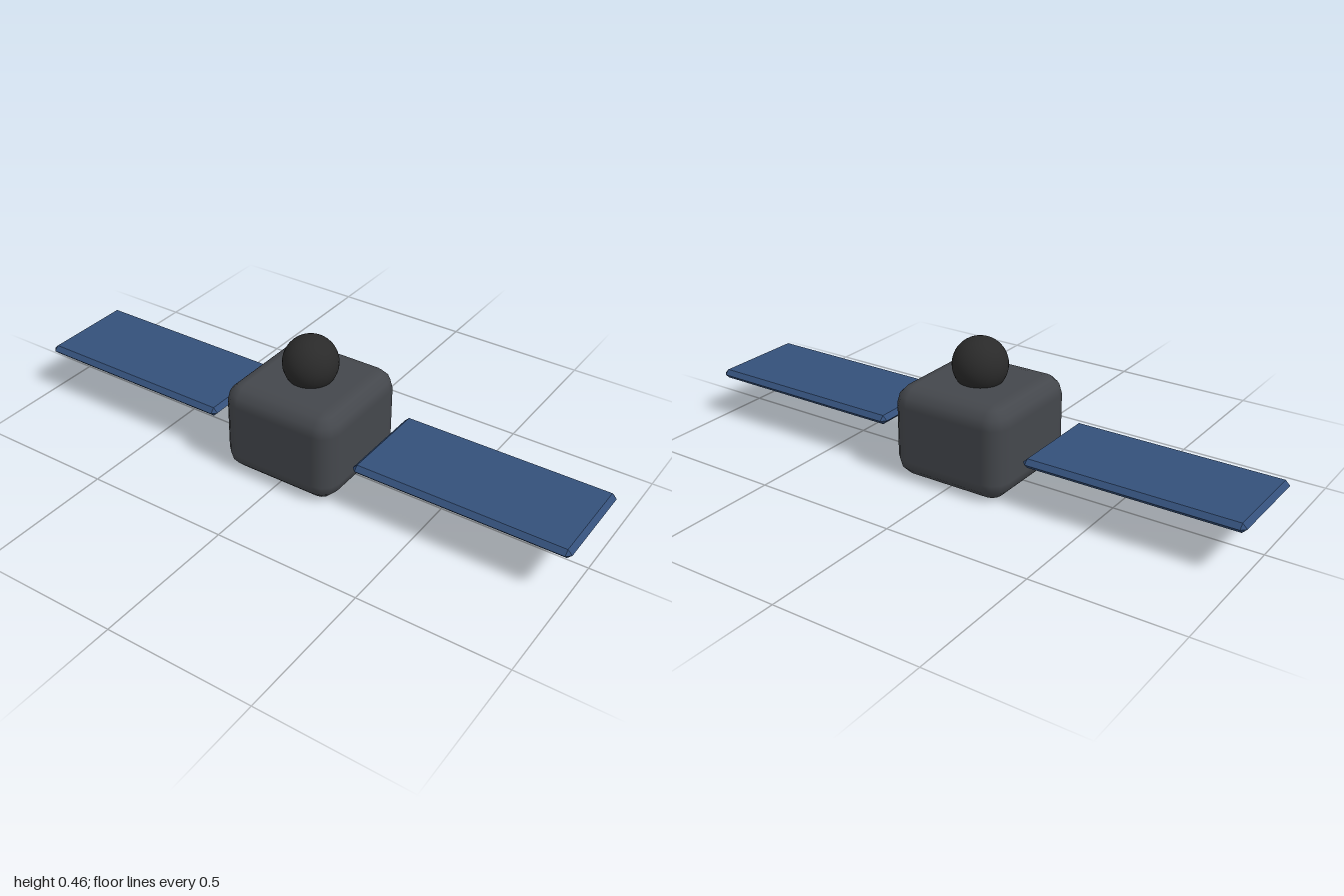
import * as THREE from 'three';
import { ConvexGeometry } from 'three/addons/geometries/ConvexGeometry.js';

const material = (color) => new THREE.MeshStandardMaterial({ color });

// Box with rounded edges, three facets per quarter turn: a sphere grid whose
// eight octants are pushed apart.
function roundedBody(hx, hy, hz, r) {
  const cols = 16, rows = 9;
  const geo = new THREE.SphereGeometry(1, cols, rows);
  const pos = geo.attributes.position, nor = geo.attributes.normal;
  for (let j = 0; j <= rows; j++) {
    const cap = j === 0 || j === rows;
    const lower = j > 4;
    const theta = (lower ? Math.min(j, 8) - 2 : Math.max(j, 1) - 1) * Math.PI / 6;
    for (let i = 0; i <= cols; i++) {
      const quad = Math.floor((i % cols) / 4);
      const phi = (quad * 3 + (i % 4)) * Math.PI / 6;
      const n = new THREE.Vector3(
        -Math.cos(phi) * Math.sin(theta), Math.cos(theta), Math.sin(phi) * Math.sin(theta));
      const sx = quad === 0 || quad === 3 ? -1 : 1;
      const sz = quad < 2 ? 1 : -1;
      const k = j * (cols + 1) + i;
      pos.setXYZ(k,
        cap ? 0 : sx * (hx - r) + n.x * r,
        (lower ? -1 : 1) * (hy - r) + n.y * r,
        cap ? 0 : sz * (hz - r) + n.z * r);
      nor.setXYZ(k, n.x, n.y, n.z);
    }
  }
  return geo;
}

// Thin slab with every edge chamfered by half its thickness
function chamferedPanel(hx, hy, hz) {
  const c = hy, points = [];
  for (const x of [-1, 1]) for (const z of [-1, 1]) {
    points.push(
      new THREE.Vector3(x * hx, 0, z * (hz - c)),
      new THREE.Vector3(x * (hx - c), 0, z * hz),
      new THREE.Vector3(x * (hx - c), hy, z * (hz - c)),
      new THREE.Vector3(x * (hx - c), -hy, z * (hz - c)));
  }
  return new ConvexGeometry(points);
}

export function createModel() {
  const model = new THREE.Group();
  model.name = 'satellite';
  const add = (name, geometry, mat, x, y) => {
    const mesh = new THREE.Mesh(geometry, mat);
    mesh.name = name;
    mesh.position.set(x, y, 0);
    model.add(mesh);
  };

  // Central body and the dome sunk into its top
  add('body', roundedBody(0.21, 0.158, 0.21, 0.065), material(0x44474c), 0, 0.158);
  add('sensorDome', new THREE.SphereGeometry(0.092, 32, 20), material(0x2a2a2a), 0, 0.369);

  // Free-standing solar panels on both sides
  const panel = chamferedPanel(0.3675, 0.0155, 0.172);
  const blue = material(0x34507a);
  add('leftSolarPanel', panel, blue, 0.6325, 0.158);
  add('rightSolarPanel', panel, blue, -0.6325, 0.158);
  return model;
}
